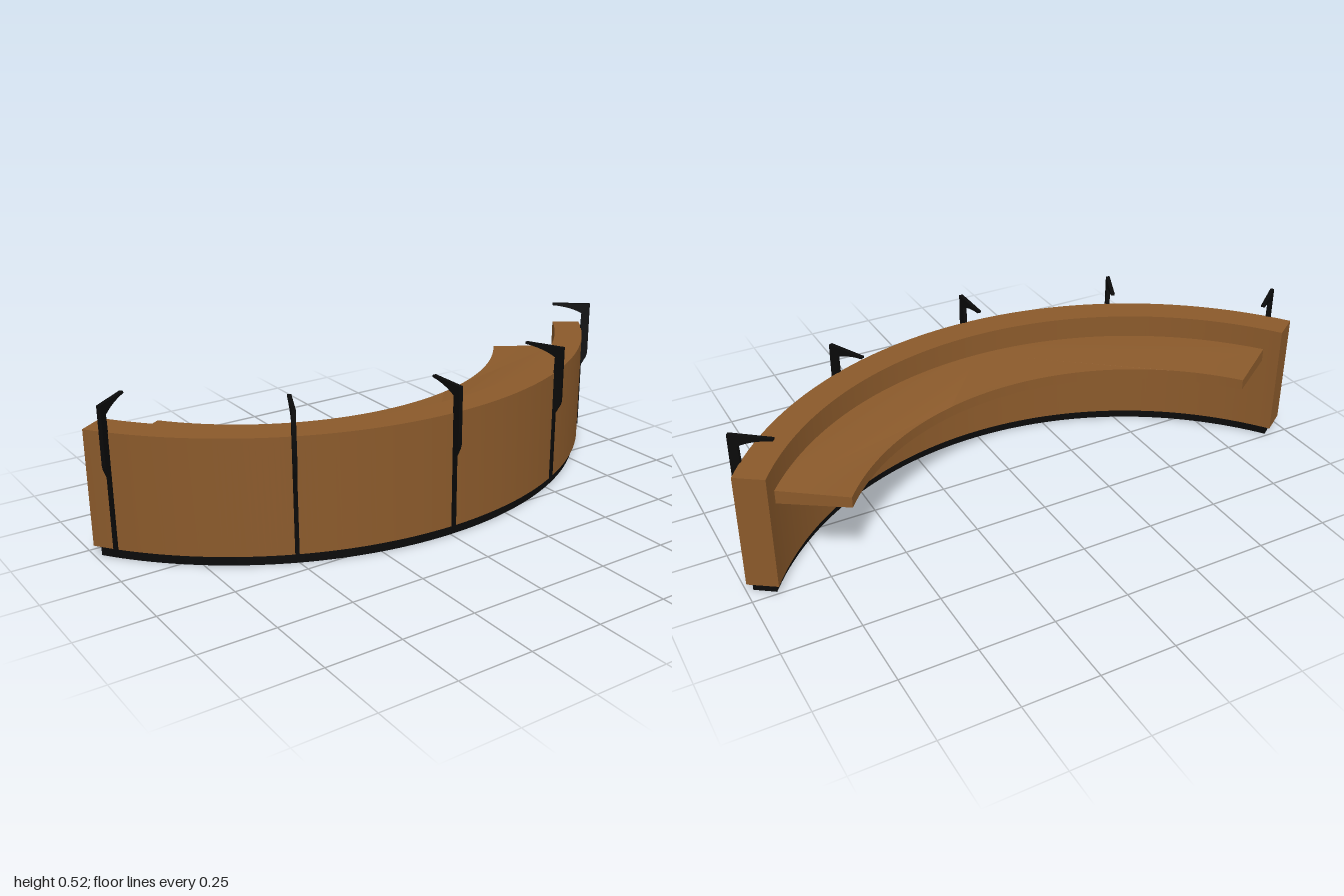
import * as THREE from 'three';
import { toCreasedNormals } from 'three/addons/utils/BufferGeometryUtils.js';

const CENTRE_Z = -0.895; // centre of the counter's curve
const rad = THREE.MathUtils.degToRad;

// Curved slab between two radii, spanning +/- the half angles
function arcSlab(rIn, rOut, y0, y1, angleIn, angleOut = angleIn) {
  const q = Math.PI / 2, a = rad(angleIn), b = rad(angleOut);
  const shape = new THREE.Shape();
  shape.absarc(0, 0, rOut, q - b, q + b, false);
  shape.absarc(0, 0, rIn, q + a, q - a, true);
  shape.closePath();
  const g = new THREE.ExtrudeGeometry(shape, { depth: y1 - y0, bevelEnabled: false, curveSegments: 64 });
  g.rotateX(Math.PI / 2);
  g.translate(0, y1, 0);
  return g;
}

export function createModel() {
  const wood = new THREE.MeshStandardMaterial({ color: 0x8b5a2b });
  wood.name = 'wood';
  const black = new THREE.MeshStandardMaterial({ color: 0x0a0a0a });
  black.name = 'blackMetal';

  const model = new THREE.Group();
  model.name = 'curvedCounter';
  const curve = new THREE.Group();
  curve.name = 'curvedParts';
  curve.position.z = CENTRE_Z;
  model.add(curve);

  const add = (name, geometry, material) => {
    const mesh = new THREE.Mesh(toCreasedNormals(geometry, 0.5), material);
    mesh.name = name;
    curve.add(mesh);
    return mesh;
  };

  // Plinth and front wall
  add('plinth', arcSlab(1.129, 1.203, 0, 0.035, 54.5), black);
  add('frontWall', arcSlab(1.115, 1.215, 0.035, 0.423, 55.4), wood);

  // Desk top, thinning slightly towards its inner edge
  const desk = arcSlab(0.887, 1.118, 0.305, 0.341, 51.8, 52.5);
  const p = desk.attributes.position;
  for (let i = 0; i < p.count; i++) {
    if (Math.hypot(p.getX(i), p.getZ(i)) > 1) {
      p.setY(i, p.getY(i) + (p.getY(i) > 0.323 ? 0.005 : -0.004));
    }
  }
  add('deskTop', desk, wood);

  // Bracket profile: x is the radius, y the height
  const profile = new THREE.Shape();
  profile.moveTo(1.213, 0.035);
  profile.lineTo(1.223, 0.035);
  profile.lineTo(1.223, 0.278);
  profile.lineTo(1.24, 0.31);
  profile.lineTo(1.244, 0.325);
  profile.lineTo(1.244, 0.517);
  profile.lineTo(1.105, 0.517);
  profile.lineTo(1.105, 0.51);
  profile.quadraticCurveTo(1.17, 0.505, 1.215, 0.48);
  profile.lineTo(1.213, 0.423);
  profile.closePath();
  const width = 0.013;
  const bracket = new THREE.ExtrudeGeometry(profile, { depth: width, bevelEnabled: false, curveSegments: 10 });
  bracket.translate(0, 0, -width / 2);

  // Brackets stand radially along the front
  [-51.6, -24.9, 0, 24.9, 51.6].forEach((angle, i) => {
    add('bracket' + (i + 1), bracket, black).rotation.y = rad(angle - 90);
  });

  return model;
}
